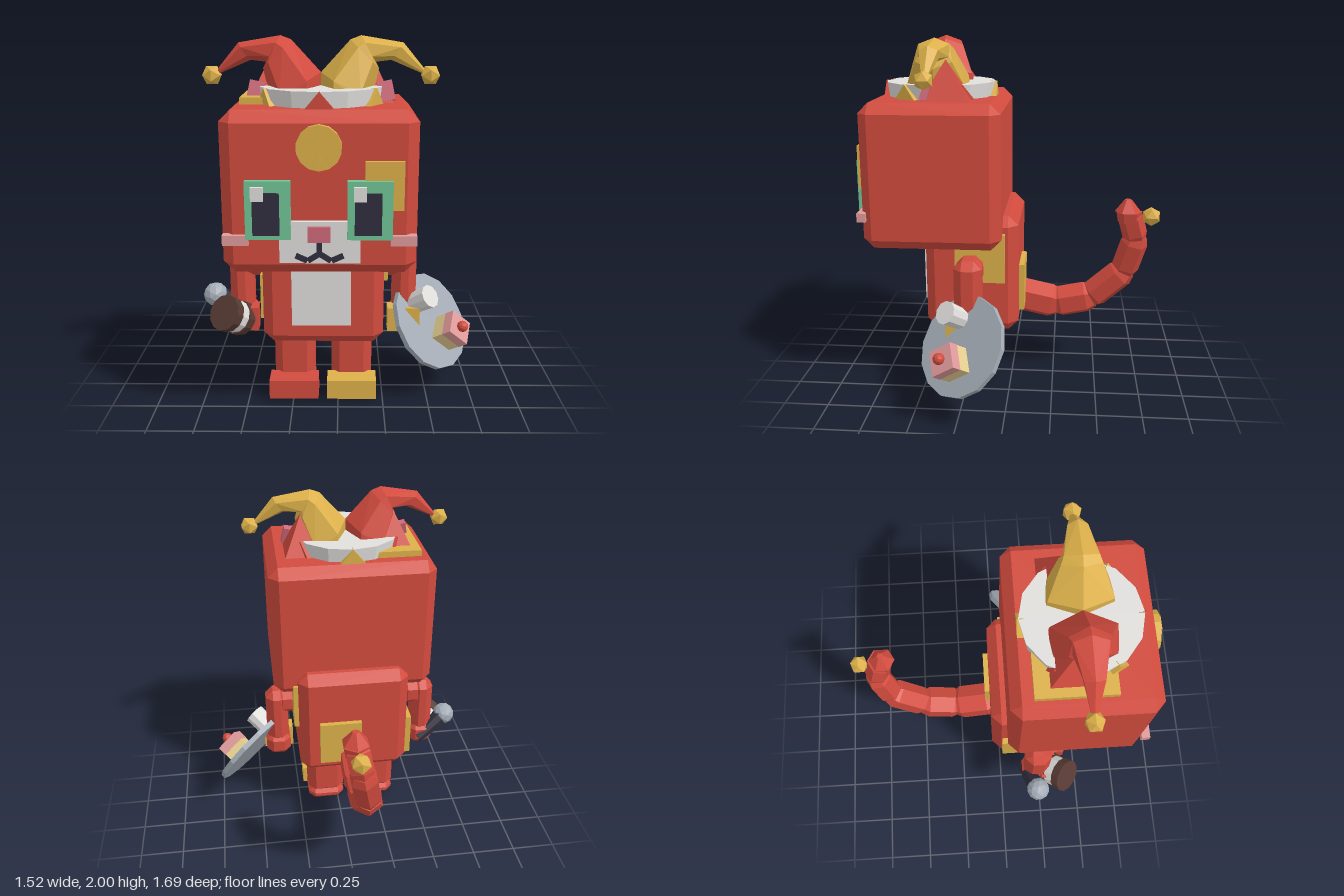
import * as THREE from 'three';
import { ConvexGeometry } from 'three/addons/geometries/ConvexGeometry.js';

const mat = (name, color) => {
  const m = new THREE.MeshStandardMaterial({ color });
  m.name = name;
  return m;
};
const V = (x, y, z) => new THREE.Vector3(x, y, z);
const CX = -0.085; // symmetry plane of the body

export function createModel() {
  const root = new THREE.Group();
  const red = mat('red', 0xd24b3e), gold = mat('gold', 0xdcb04a), white = mat('white', 0xe0dfdc);
  const green = mat('green', 0x70c596), dark = mat('dark', 0x302e3e), pink = mat('pink', 0xd06a7a);
  const blush = mat('blush', 0xe09a9a), steel = mat('steel', 0xa4acb6);
  const brown = mat('brown', 0x573a32), cream = mat('cream', 0xe6cf90);

  const add = (name, geo, m, parent = root) => {
    const g = geo.index ? geo.toNonIndexed() : geo;
    g.computeVertexNormals(); // crisp facets
    const mesh = new THREE.Mesh(g, m);
    mesh.name = name;
    parent.add(mesh);
    return mesh;
  };
  // Plain box from its limits
  const box = (name, m, x0, x1, y0, y1, z0, z1, parent) => {
    const b = add(name, new THREE.BoxGeometry(x1 - x0, y1 - y0, z1 - z0), m, parent);
    b.position.set((x0 + x1) / 2, (y0 + y1) / 2, (z0 + z1) / 2);
    return b;
  };
  // Box with chamfered edges
  const chamfer = (name, m, x0, x1, y0, y1, z0, z1, c) => {
    const h = [(x1 - x0) / 2, (y1 - y0) / 2, (z1 - z0) / 2], pts = [];
    for (const sx of [-1, 1]) for (const sy of [-1, 1]) for (const sz of [-1, 1])
      for (let a = 0; a < 3; a++) {
        const r = h.map((v, i) => (i === a ? v : v - c));
        pts.push(V(sx * r[0], sy * r[1], sz * r[2]));
      }
    const b = add(name, new ConvexGeometry(pts), m);
    b.position.set((x0 + x1) / 2, (y0 + y1) / 2, (z0 + z1) / 2);
    return b;
  };
  const aim = (o, dir) => o.quaternion.setFromUnitVectors(V(0, 1, 0), dir.clone().normalize());
  const ball = (name, m, r, x, y, z, detail = 0, parent = root) => {
    const b = add(name, new THREE.IcosahedronGeometry(r, detail), m, parent);
    b.position.set(x, y, z);
    return b;
  };
  const cyl = (name, m, r0, r1, h, n, y, parent) => {
    const c = add(name, new THREE.CylinderGeometry(r1, r0, h, n), m, parent);
    c.position.y = y;
    return c;
  };

  // Head, torso and patches
  chamfer('head', red, -0.557, 0.385, 0.88, 1.676, 0.035, 0.79, 0.056);
  chamfer('torso', red, -0.405, 0.247, 0.36, 1.04, -0.05, 0.475, 0.055);
  box('bellyPanel', white, -0.245, 0.07, 0.49, 0.9, 0.46, 0.507);
  box('backPatch', gold, -0.12, 0.13, 0.455, 0.73, -0.08, -0.04);
  box('leftSidePatch', gold, 0.23, 0.275, 0.67, 0.95, 0.02, 0.3);
  box('rightSidePatch', gold, -0.44, -0.39, 0.42, 0.68, 0.01, 0.25);
  box('browPatch', gold, 0.13, 0.315, 1.21, 1.445, 0.78, 0.808);
  box('crownPatch', gold, -0.48, -0.15, 1.67, 1.71, 0.15, 0.56);

  // Face
  const medal = add('foreheadMedal', new THREE.CylinderGeometry(0.108, 0.108, 0.04, 14), gold);
  medal.rotation.x = Math.PI / 2;
  medal.position.set(CX, 1.51, 0.803);
  for (const s of [-1, 1]) {
    const t = add('medalNotch', new THREE.CylinderGeometry(0.045, 0.045, 0.008, 3), gold);
    t.rotation.set(Math.PI / 2, s > 0 ? 0 : Math.PI, 0);
    t.position.set(CX, 1.51 + s * 0.075, 0.824);
  }
  for (const x of [-0.435, 0.047]) {
    box('eyeFrame', green, x, x + 0.215, 1.072, 1.355, 0.78, 0.828);
    box('pupil', dark, x + 0.035, x + 0.163, 1.095, 1.3, 0.826, 0.835);
    box('eyeGlint', white, x + 0.03, x + 0.09, 1.262, 1.33, 0.826, 0.847);
  }
  box('muzzle', white, -0.277, 0.11, 0.95, 1.157, 0.78, 0.81);
  box('nose', pink, -0.14, -0.033, 1.06, 1.135, 0.8, 0.832);
  const stroke = (x0, y0, x1, y1) => {
    const l = Math.hypot(x1 - x0, y1 - y0);
    const b = add('mouthStroke', new THREE.BoxGeometry(l + 0.012, 0.026, 0.02), dark);
    b.position.set((x0 + x1) / 2, (y0 + y1) / 2, 0.812);
    b.rotation.z = Math.atan2(y1 - y0, x1 - x0);
  };
  stroke(CX, 1.06, CX, 1.0);
  for (const s of [-1, 1]) {
    stroke(CX, 1.0, CX + s * 0.05, 0.968);
    stroke(CX + s * 0.064, 0.968, CX + s * 0.108, 0.988);
    const x = CX + s * 0.402;
    box('cheek', blush, x - 0.063, x + 0.063, 1.037, 1.087, 0.765, 0.812);
  }

  // Ears
  for (const s of [-1, 1]) {
    const b = [[0.14, 0.2], [0.37, 0.2], [0.37, 0.48], [0.14, 0.48]];
    const pts = b.map(([u, z]) => V(CX + s * u, 1.66, z));
    pts.push(V(CX + s * 0.26, 1.89, 0.34));
    add('ear', new ConvexGeometry(pts), red);
    const inner = box('innerEar', pink, -0.038, 0.038, -0.05, 0.05, -0.02, 0.02);
    inner.position.set(CX + s * 0.325, 1.728, 0.44);
    inner.rotation.set(-0.25, 0, s * 0.2);
  }

  // Jester hat: brim, points, two drooping horns with bells
  const HZ = 0.408;
  const brim = add('hatBrim', new THREE.CylinderGeometry(0.31, 0.3, 0.08, 14), white);
  brim.position.set(CX, 1.715, HZ);
  for (let i = 0; i < 6; i++) {
    const a = Math.PI / 6 + i * Math.PI / 3;
    const pts = [];
    for (const d of [0.28, 0.318]) pts.push(V(-0.068, 1.675, d), V(0.068, 1.675, d), V(0, 1.757, d));
    const p = add('brimPoint', new ConvexGeometry(pts), i % 2 ? red : gold);
    p.position.set(CX, 0, HZ);
    p.rotation.y = Math.PI / 2 - a;
  }
  // Each ring: inner/top point, outer/bottom point, half depth
  const rings = [
    [0.0, 1.82, 0.26, 1.7, 0.165], [0.147, 1.98, 0.29, 1.84, 0.1],
    [0.2, 2.0, 0.27, 1.87, 0.085], [0.41, 1.965, 0.35, 1.88, 0.05], [0.535, 1.815, 0.515, 1.81, 0.012],
  ];
  const ringPts = ([ax, ay, bx, by, d], s) => Array.from({ length: 6 }, (_, i) => {
    const c = Math.cos(i * Math.PI / 3) / 2, w = Math.sin(i * Math.PI / 3) / 0.866;
    return V(CX + s * ((ax + bx) / 2 + c * (ax - bx)), (ay + by) / 2 + c * (ay - by), HZ + w * d);
  });
  for (const [s, m] of [[-1, red], [1, gold]]) {
    const base = [0.0, 1.7, 0.26, 1.68, 0.175];
    add('hornBase', new ConvexGeometry([...ringPts(base, s), ...ringPts(rings[0], s)]), m);
    for (let i = 0; i < rings.length - 1; i++)
      add('hatHorn', new ConvexGeometry([...ringPts(rings[i], s), ...ringPts(rings[i + 1], s)]), m);
    ball('hatBell', gold, 0.053, CX + s * 0.547, 1.805, HZ);
  }

  // Legs, feet, arms and gloves
  for (const [s, m] of [[-1, red], [1, gold]]) {
    const lx = CX + s * 0.161;
    chamfer('leg', red, lx - 0.114, lx + 0.114, 0.06, 0.42, 0.1, 0.325, 0.045);
    chamfer('heel', red, lx - 0.114, lx + 0.114, 0.0, 0.1, 0.1, 0.325, 0.04);
    box('shoe', m, lx - 0.137, lx + 0.137, 0.01, 0.12, 0.3, 0.43);
    const sx = CX + s * 0.39, ax = CX + s * 0.455, gx = CX + s * 0.45;
    chamfer('shoulder', red, sx - 0.07, sx + 0.07, 0.68, 0.83, 0.14, 0.285, 0.04);
    chamfer('arm', red, ax - 0.067, ax + 0.067, 0.47, 0.835, 0.135, 0.29, 0.045);
    chamfer('hand', red, ax - 0.075, ax + 0.075, 0.38, 0.53, 0.125, 0.29, 0.04);
    box('glove', m, gx - 0.09, gx + 0.09, 0.38, 0.515, 0.24, 0.33);
  }

  // Tail of tapered hexagonal links
  const tail = [V(-0.085, 0.475, -0.03), V(-0.085, 0.425, -0.26), V(-0.08, 0.47, -0.47),
    V(-0.06, 0.645, -0.66), V(-0.02, 0.86, -0.72), V(0.01, 1.02, -0.675)];
  const radii = [0.105, 0.097, 0.088, 0.08, 0.072];
  const link = (l, r) => {
    const pts = [];
    for (const [y, k] of [[-0.02, 0.75], [0.03, 1], [l - 0.03, 1], [l + 0.02, 0.75]])
      for (let i = 0; i < 6; i++) {
        const a = i * Math.PI / 3;
        pts.push(V(Math.sin(a) * r * k, y, Math.cos(a) * r * k));
      }
    return new ConvexGeometry(pts);
  };
  radii.forEach((r, i) => {
    const d = tail[i + 1].clone().sub(tail[i]);
    const t = add('tailLink', link(d.length(), r), red);
    t.position.copy(tail[i]);
    aim(t, d);
  });
  const tip = add('tailTip', new THREE.CylinderGeometry(0.02, 0.075, 0.07, 6), red);
  tip.position.set(0.012, 1.065, -0.665);
  cyl('tailTipBand', red, 0.065, 0.075, 0.06, 6, 1.0).position.set(0.012, 1.0, -0.675);
  ball('tailBell', gold, 0.056, 0.005, 1.0, -0.8);

  // Tilted serving tray with a cup and a small cake
  const tray = new THREE.Group();
  tray.name = 'tray';
  const n = V(0.65, 0.54, 0.54).normalize();
  tray.position.set(0.525, 0.4, 0.23);
  aim(tray, n);
  root.add(tray);
  cyl('trayPlate', steel, 0.28, 0.28, 0.03, 14, 0, tray);
  const q = tray.quaternion.clone().invert();
  const place = (name, x, y, z) => { // foot on the tray under a point
    const g = new THREE.Group();
    g.name = name;
    g.position.copy(V(x, y, z).sub(tray.position).applyQuaternion(q)).setY(0);
    tray.add(g);
    return g;
  };
  cyl('cupBody', white, 0.06, 0.065, 0.13, 10, 0.075, place('cup', 0.48, 0.56, 0.295));
  const cake = place('cake', 0.67, 0.385, 0.305);
  box('cakeBase', cream, -0.07, 0.07, 0.01, 0.09, -0.07, 0.07, cake);
  box('cakeIcing', blush, -0.071, 0.071, 0.09, 0.15, -0.071, 0.071, cake);
  ball('cherry', red, 0.032, 0, 0.168, 0, 1, cake);

  // Layered biscuit and microphone by the right hand
  const biscuit = new THREE.Group();
  biscuit.name = 'biscuit';
  biscuit.position.set(-0.585, 0.475, 0.34);
  aim(biscuit, V(-0.5, 0.5, 0.7));
  root.add(biscuit);
  cyl('biscuitBack', brown, 0.1, 0.1, 0.05, 12, -0.055, biscuit);
  cyl('biscuitFilling', white, 0.092, 0.092, 0.06, 12, 0, biscuit);
  cyl('biscuitFront', brown, 0.1, 0.1, 0.05, 12, 0.055, biscuit);

  const mic = new THREE.Group();
  mic.name = 'microphone';
  mic.position.set(-0.7, 0.55, 0.21);
  aim(mic, V(-0.19, 0.13, 0.08));
  root.add(mic);
  ball('micHead', steel, 0.068, 0, 0, 0, 1, mic);
  cyl('micHandle', dark, 0.035, 0.055, 0.2, 8, -0.13, mic);
  return root;
}
